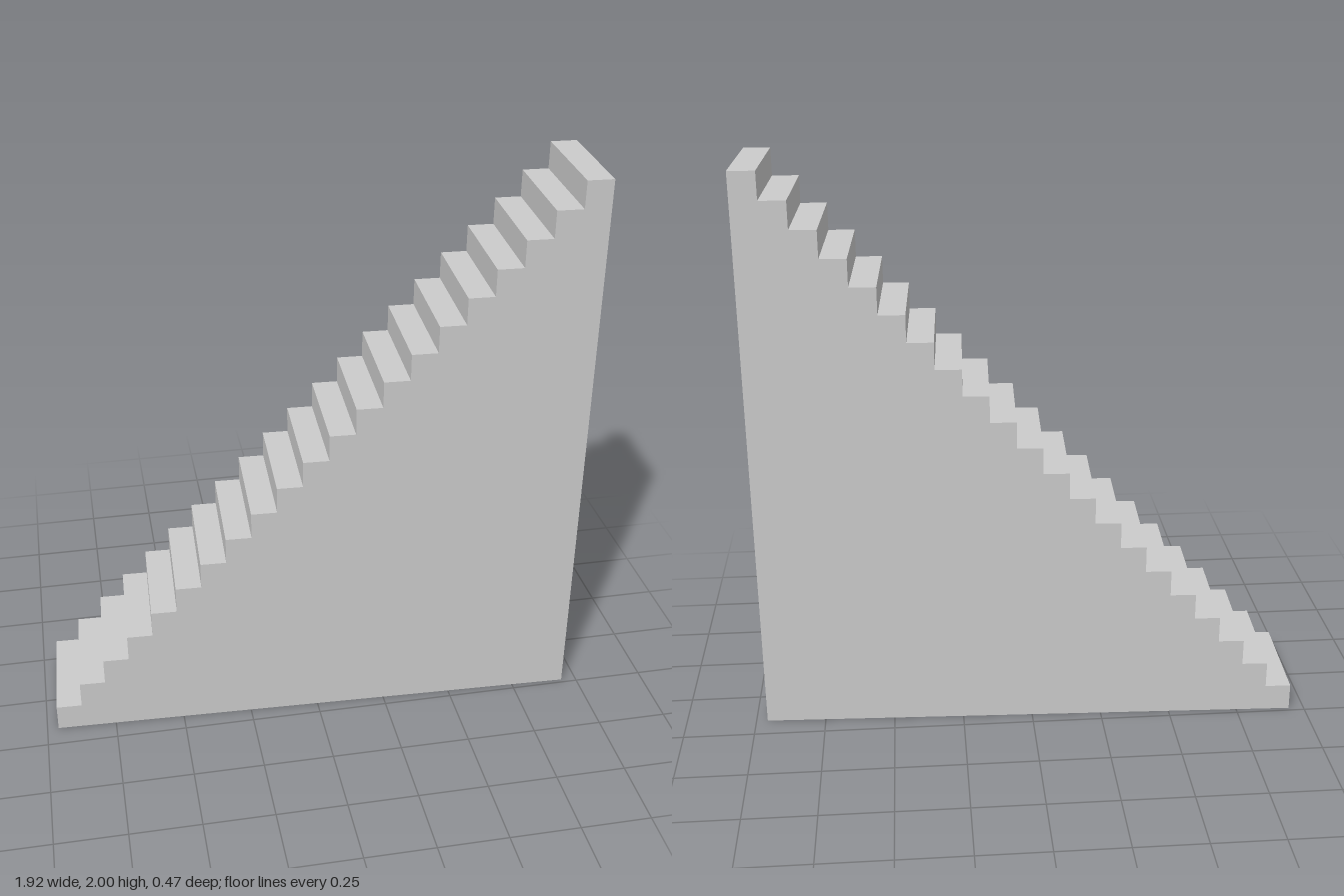
import * as THREE from 'three';

const STEPS = 21, LENGTH = 1.906, HEIGHT = 2, DEPTH = 0.4;

export function createModel() {
  const group = new THREE.Group();
  group.name = 'staircase';

  // Solid side profile: tall back wall on +x, steps climbing from -x
  const run = LENGTH / STEPS, rise = HEIGHT / STEPS;
  const profile = new THREE.Shape();
  profile.moveTo(LENGTH / 2, 0);
  profile.lineTo(LENGTH / 2, HEIGHT);
  for (let i = STEPS - 1; i >= 0; i--) {
    const x = -LENGTH / 2 + i * run;
    profile.lineTo(x, (i + 1) * rise); // tread
    profile.lineTo(x, i * rise); // riser
  }
  profile.closePath();

  const geometry = new THREE.ExtrudeGeometry(profile, { depth: DEPTH, bevelEnabled: false });
  geometry.translate(0, 0, -DEPTH / 2);

  const stairs = new THREE.Mesh(
    geometry,
    new THREE.MeshStandardMaterial({ color: 0xcccccc, flatShading: true })
  );
  stairs.name = 'solidSteps';
  stairs.rotation.y = -0.037; // slight turn about the vertical
  group.add(stairs);
  return group;
}
